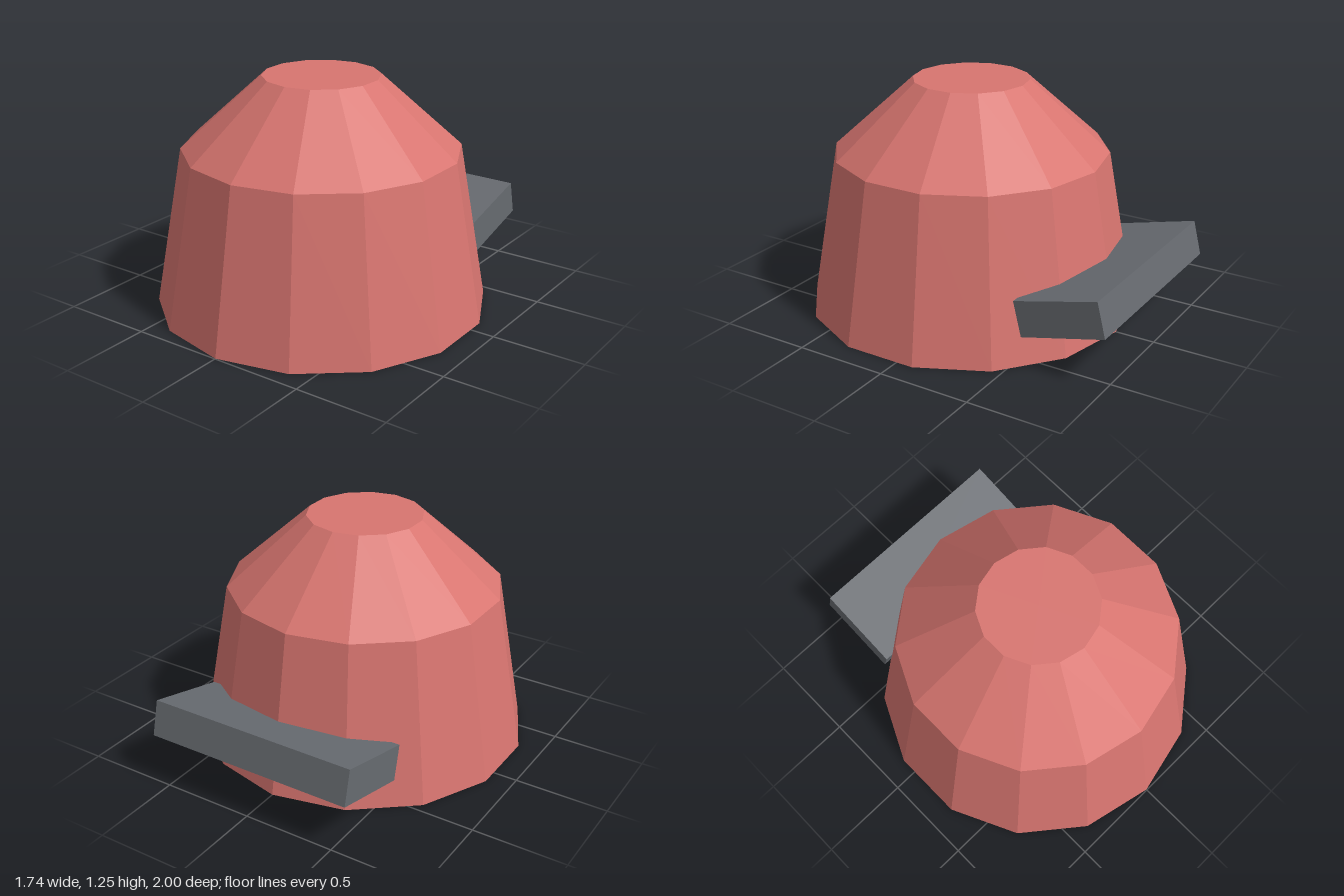
import * as THREE from 'three';

const red = new THREE.MeshStandardMaterial({ color: 0xd87570 });
red.name = 'soft red';
const grey = new THREE.MeshStandardMaterial({ color: 0x676b70 });
grey.name = 'slate grey';

// Faceted solid of revolution with one flat normal per face
function facetedLathe(profile, sides) {
  const points = profile.map(([r, y]) => new THREE.Vector2(r, y));
  const geometry = new THREE.LatheGeometry(points, sides).toNonIndexed();
  geometry.computeVertexNormals();
  return geometry;
}

export function createModel() {
  const model = new THREE.Group();
  model.name = 'cap';

  // Fourteen-sided crown: tapered wall, sloped shoulder, flat top and base
  const crown = new THREE.Mesh(
    facetedLathe([[0, 0], [0.891, 0], [0.738, 0.86], [0.31, 1.247], [0, 1.247]], 14),
    red
  );
  crown.name = 'crown';
  crown.position.z = 0.106;
  model.add(crown);

  // Brim slab at the back, tilted up towards its outer edge
  const brim = new THREE.Mesh(new THREE.BoxGeometry(1.16, 0.19, 0.468), grey);
  brim.name = 'brim';
  brim.position.set(0, 0.313, -0.75);
  brim.rotation.x = 0.245;
  model.add(brim);

  return model;
}
